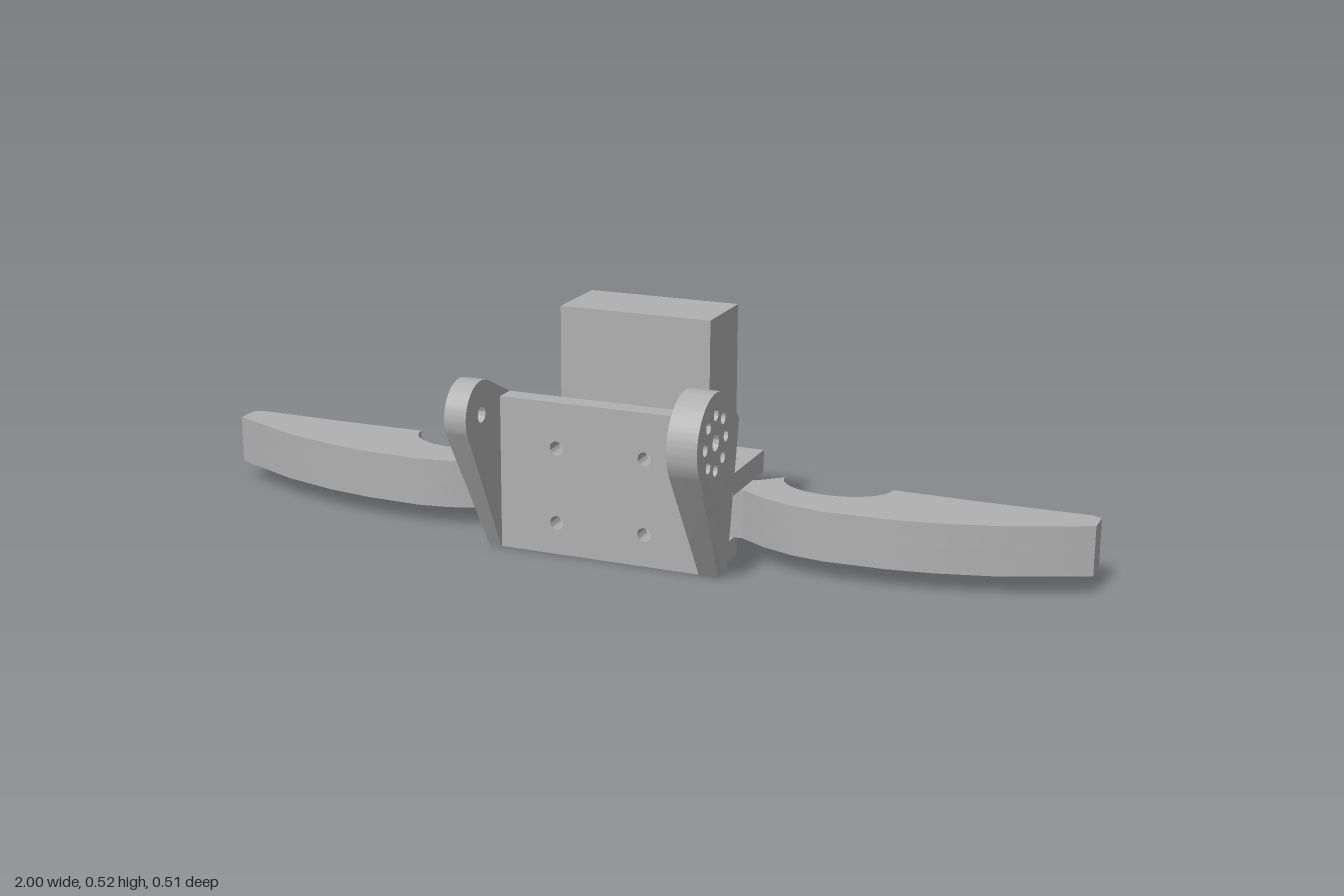
import * as THREE from 'three';
import { toCreasedNormals } from 'three/addons/utils/BufferGeometryUtils.js';

const plastic = new THREE.MeshStandardMaterial({ color: 0xb0b0b0 });
plastic.name = 'grey plastic';

function makeMesh(name, geometry, parent) {
  const mesh = new THREE.Mesh(toCreasedNormals(geometry, 0.45), plastic);
  mesh.name = name;
  parent.add(mesh);
  return mesh;
}

function box(name, [x0, x1], [y0, y1], [z0, z1], parent) {
  const g = new THREE.BoxGeometry(x1 - x0, y1 - y0, z1 - z0);
  g.translate((x0 + x1) / 2, (y0 + y1) / 2, (z0 + z1) / 2);
  return makeMesh(name, g, parent);
}

function addHole(shape, x, y, r) {
  shape.holes.push(new THREE.Path().absarc(x, y, r, 0, Math.PI * 2, true));
}

const extrude = (shape, depth) =>
  new THREE.ExtrudeGeometry(shape, { depth, bevelEnabled: false, curveSegments: 24 });

// Horizontal slab from an outline of [x, z] points; holes are [x, z, radius]
function slab(name, points, y0, y1, parent, holes = []) {
  const shape = new THREE.Shape(points.map(([x, z]) => new THREE.Vector2(x, -z)));
  holes.forEach(([x, z, r]) => addHole(shape, x, -z, r));
  const g = extrude(shape, y1 - y0);
  g.rotateX(-Math.PI / 2);
  g.translate(0, y0, 0);
  return makeMesh(name, g, parent);
}

// Upright slab from a (z, y) shape, spanning x0 to x1
function sideGeometry(shape, x0, x1) {
  const g = extrude(shape, x1 - x0);
  g.rotateY(-Math.PI / 2);
  g.translate(x1, 0, 0);
  return g;
}

// Mounting ear: a disc joined by tangents to the wall, thinner at the foot
function ear(name, side, r, x0, x1, boltHoles, parent) {
  const cz = 0.152, cy = 0.318;
  const tangent = (z, y, sign) => Math.atan2(y - cy, z - cz) +
    sign * Math.acos(r / Math.hypot(z - cz, y - cy));
  const shape = new THREE.Shape();
  shape.moveTo(0.018, 0.335);
  shape.lineTo(0.018, 0);
  shape.lineTo(0.068, 0);
  shape.absarc(cz, cy, r, tangent(0.068, 0, 1), tangent(0.018, 0.335, -1), false);
  shape.closePath();
  addHole(shape, cz, cy, 0.018);
  for (let i = 0; i < boltHoles; i++) {
    const a = i * Math.PI * 2 / boltHoles;
    addHole(shape, cz + 0.058 * Math.cos(a), cy + 0.058 * Math.sin(a), 0.013);
  }
  const g = side > 0 ? sideGeometry(shape, x0, x1) : sideGeometry(shape, -x1, -x0);
  const p = g.attributes.position;
  for (let i = 0; i < p.count; i++) {
    if (Math.abs(p.getX(i)) > (x0 + x1) / 2 && p.getY(i) < 0.1) p.setX(i, side * (x1 - 0.022));
  }
  g.computeVertexNormals();
  makeMesh(name, g, parent);
}

// Spur gear outline around a centre
function gearPoints(cx, cz, phase) {
  const teeth = 18, pts = [];
  for (let i = 0; i < teeth; i++) {
    for (const [t, r] of [[-0.3, 0.086], [-0.14, 0.109], [0.14, 0.109], [0.3, 0.086]]) {
      const a = (i + t + phase) * Math.PI * 2 / teeth;
      pts.push([cx + r * Math.cos(a), cz + r * Math.sin(a)]);
    }
  }
  return pts;
}

// Curved gripper arm with a pocket, an underside notch and grip teeth
function arm(side, parent) {
  const group = new THREE.Group();
  group.name = side > 0 ? 'leftArm' : 'rightArm';
  parent.add(group);
  const flip = pts => pts.map(([x, z]) => [x * side, z]);
  const pocket = [];
  for (let i = 0; i <= 16; i++) {
    const a = i * Math.PI / 16;
    pocket.push([0.44 + 0.12 * Math.cos(a), -0.195 + 0.087 * Math.sin(a)]);
  }
  const front = [[0.16, -0.07], [0.27, -0.07], [0.33, -0.035], [0.4, -0.01], [0.47, 0],
    [0.6, -0.005], [0.7, -0.02], [0.83, -0.055], [1, -0.13], [1, -0.185], [0.98, -0.195], [0.76, -0.192]];
  const root = [[0.315, -0.185], [0.27, -0.145], [0.16, -0.145]];
  const notch = [[0.76, -0.11], [0.6, -0.135], [0.59, -0.19]];
  slab('armTop', flip([...front, ...pocket, ...root]), 0.1, 0.15, group);
  slab('armUnderside', flip([...front, ...notch, ...pocket, ...root]), 0.043, 0.1, group);
  slab('pocketFloor', flip(pocket), 0.043, 0.056, group);
  // Grip teeth near the tip
  const top = side > 0 ? 0.135 : 0.08;
  for (let i = 0; i < 8; i++) {
    const x = 0.775 + i * 0.028;
    slab('gripTooth', flip([[x - 0.009, -0.185], [x + 0.009, -0.185], [x + 0.007, -0.207], [x - 0.007, -0.207]]),
      0.043, top, group);
  }
}

export function createModel() {
  const model = new THREE.Group();
  model.name = 'gripper';

  // Front wall with four screw holes
  const wall = new THREE.Shape([[-0.23, 0], [0.23, 0], [0.23, 0.335], [-0.23, 0.335]]
    .map(p => new THREE.Vector2(...p)));
  for (const x of [-0.1, 0.1]) for (const y of [0.07, 0.235]) addHole(wall, x, y, 0.015);
  const wallGeometry = extrude(wall, 0.047);
  wallGeometry.translate(0, 0, 0.018);
  makeMesh('frontWall', wallGeometry, model);

  // Ears
  ear('leftEar', 1, 0.103, 0.225, 0.29, 8, model);
  ear('rightEar', -1, 0.073, 0.23, 0.28, 0, model);

  // Base plate under the gears
  slab('basePlate', [[-0.25, 0.02], [0.25, 0.02], [0.25, -0.09], [0.17, -0.233], [-0.17, -0.233], [-0.25, -0.09]],
    0, 0.043, model, [[-0.1, -0.145, 0.02], [0.1, -0.145, 0.02]]);

  // Forked shelf that carries the motor
  slab('motorShelf', [[-0.21, 0.02], [0.28, 0.02], [0.28, -0.167], [0.205, -0.167], [0.205, -0.03],
    [-0.135, -0.03], [-0.135, -0.167], [-0.21, -0.167]], 0.165, 0.213, model,
  [[-0.168, -0.08, 0.013], [0.24, -0.08, 0.013]]);

  // Diagonal struts below the shelf
  const strut = new THREE.Shape([[0.02, 0.055], [0.02, 0.13], [-0.015, 0.167], [-0.065, 0.167]]
    .map(p => new THREE.Vector2(...p)));
  makeMesh('leftStrut', sideGeometry(strut, 0.2, 0.23), model);
  makeMesh('rightStrut', sideGeometry(strut, -0.21, -0.18), model);

  // Motor block
  box('motor', [-0.133, 0.205], [0.211, 0.518], [-0.198, -0.034], model);

  // Meshing gears: drive gear with bolt circle, idler with a raised hub
  const bolts = [[0.1, -0.145, 0.017]];
  for (let i = 0; i < 8; i++) {
    const a = i * Math.PI / 4;
    bolts.push([0.1 + 0.052 * Math.cos(a), -0.145 + 0.052 * Math.sin(a), 0.011]);
  }
  slab('driveGear', gearPoints(0.1, -0.145, 0), 0.043, 0.105, model, bolts);
  slab('idlerGear', gearPoints(-0.1, -0.145, 0.5), 0.043, 0.105, model, [[-0.1, -0.145, 0.017]]);
  const hub = new THREE.CylinderGeometry(0.052, 0.052, 0.047, 32);
  hub.translate(-0.1, 0.127, -0.145);
  makeMesh('idlerHub', hub, model);
  box('idlerNeck', [-0.17, -0.1], [0.1, 0.15], [-0.14, -0.095], model);

  for (const side of [1, -1]) arm(side, model);
  return model;
}
